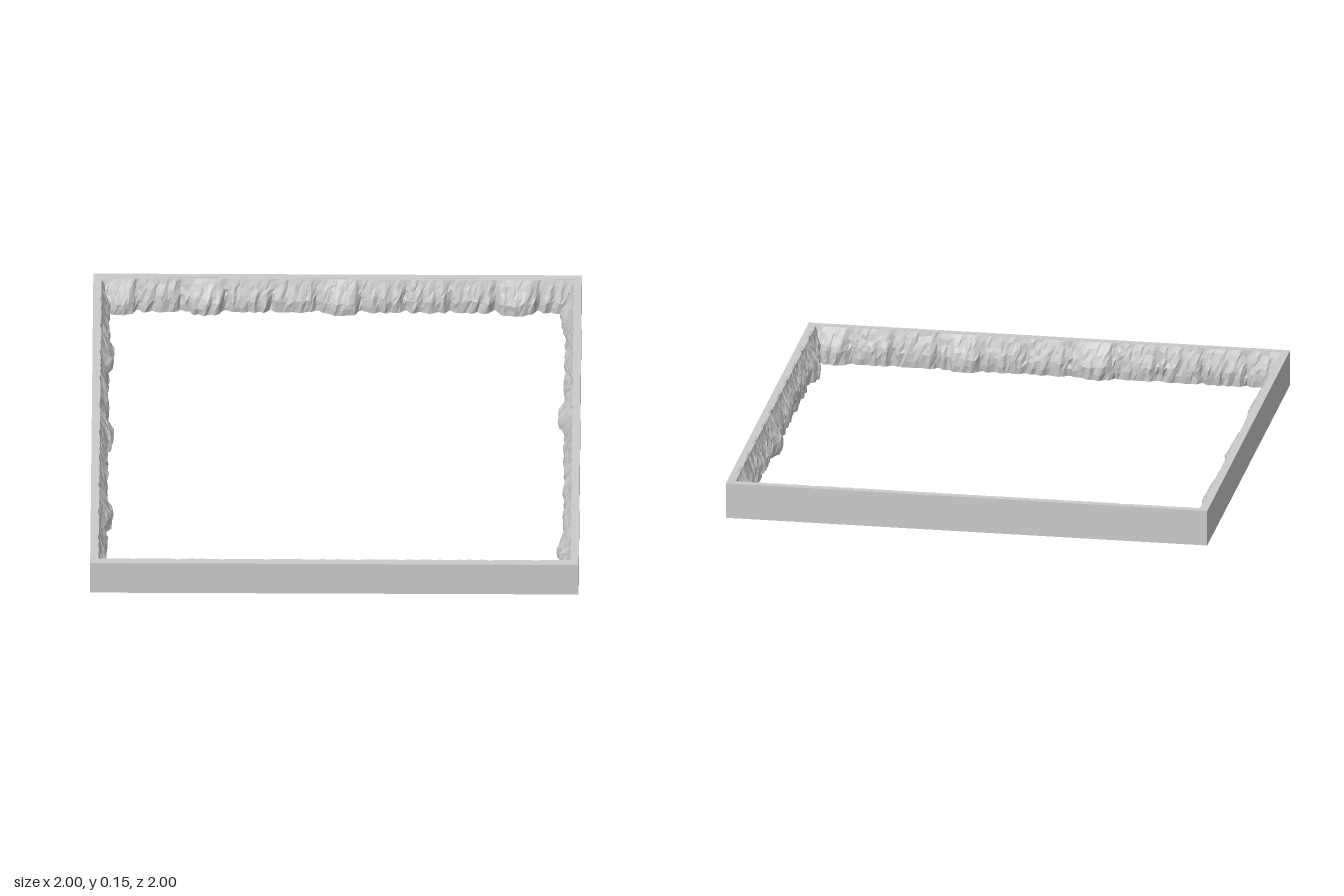
import * as THREE from 'three';

const HEIGHT = 0.15;
const BAND = 0.026;      // thickness of the smooth outer wall
const CHUNK = 0.183;     // length of one rock block
const COLS = 160;

// repeatable noise in 0..1
function hash(a, b) {
  const v = Math.sin(a * 127.1 + b * 311.7) * 43758.5453;
  return v - Math.floor(v);
}

// how far the rock stands out from the wall: s along the wall, t from top (0) to foot (1)
function rockDepth(s, t, bumps, seed) {
  const u = (s + 0.09) / CHUNK;
  const edge = Math.min(u - Math.floor(u), Math.ceil(u) - u);
  const notch = Math.min(1, 0.2 + Math.sqrt(edge * 5));
  // leaning vertical ribs
  const lean = s + 0.03 * (t - 0.5) * Math.sin(s * 23 + seed);
  const ribs = 0.008 * Math.abs(Math.sin(lean * 52 + seed)) + 0.004 * Math.sin(lean * 131 + t * 3);
  const profile = Math.min(1, 0.22 + 1.35 * t) * (t > 0.85 ? 0.92 : 1);
  let depth = (0.032 + ribs) * profile * notch;
  // larger outcrops
  for (const b of bumps) {
    const k = Math.max(0, 1 - ((s - b) / 0.065) ** 2);
    depth += 0.023 * Math.sqrt(k) * Math.min(1, t * 1.6);
  }
  return depth;
}

function rockFace(bumps, seed) {
  // last row folds back under the rock to close its foot
  const rows = [0, 0, 0.14, 0.3, 0.46, 0.62, 0.8, 1, 1];
  const geo = new THREE.PlaneGeometry(1.945, HEIGHT, COLS, rows.length - 1);
  const pos = geo.attributes.position;
  for (let i = 0; i < pos.count; i++) {
    const col = i % (COLS + 1), row = Math.floor(i / (COLS + 1));
    const fold = row === 0 || row === rows.length - 1;
    const inner = row > 1 && row < rows.length - 2 && col > 0 && col < COLS;
    let s = pos.getX(i), t = rows[row];
    if (inner) {
      s += (hash(col, row + seed) - 0.5) * 0.009;
      t += (hash(col + 50, row + seed) - 0.5) * 0.1;
    }
    let depth = fold ? -0.002 : rockDepth(s, t, bumps, seed);
    if (inner) depth += (hash(col + 9, row * 3 + seed) - 0.5) * 0.007;
    pos.setXYZ(i, s, (HEIGHT - 0.001) * (1 - t), -1 + BAND + Math.max(depth, -0.002));
  }
  geo.computeVertexNormals();
  return geo;
}

export function createModel() {
  const group = new THREE.Group();
  const smooth = new THREE.MeshStandardMaterial({ color: 0xcccccc });
  const rock = new THREE.MeshStandardMaterial({ color: 0xcccccc, flatShading: true, side: THREE.DoubleSide });

  // square outer wall
  const square = (h) => [[-h, -h], [h, -h], [h, h], [-h, h]].map(([x, y]) => new THREE.Vector2(x, y));
  const shape = new THREE.Shape(square(1));
  shape.holes.push(new THREE.Path(square(1 - BAND).reverse()));
  const wallGeo = new THREE.ExtrudeGeometry(shape, { depth: HEIGHT, bevelEnabled: false });
  wallGeo.rotateX(-Math.PI / 2);
  const wall = new THREE.Mesh(wallGeo, smooth);
  wall.name = 'outerWall';
  group.add(wall);

  // rocky lining of the four inner sides
  const sides = [
    ['backRocks', 0, [-0.89, -0.54, 0.02, 0.73]],
    ['rightRocks', Math.PI / 2, [0.58, 0.03, -0.52]],
    ['frontRocks', Math.PI, [0.21, -0.34, -0.88]],
    ['leftRocks', -Math.PI / 2, [-0.84, -0.17, 0.75]],
  ];
  sides.forEach(([name, turn, bumps], i) => {
    const mesh = new THREE.Mesh(rockFace(bumps, i * 7 + 1), rock);
    mesh.name = name;
    mesh.rotation.y = turn;
    group.add(mesh);
  });
  return group;
}
